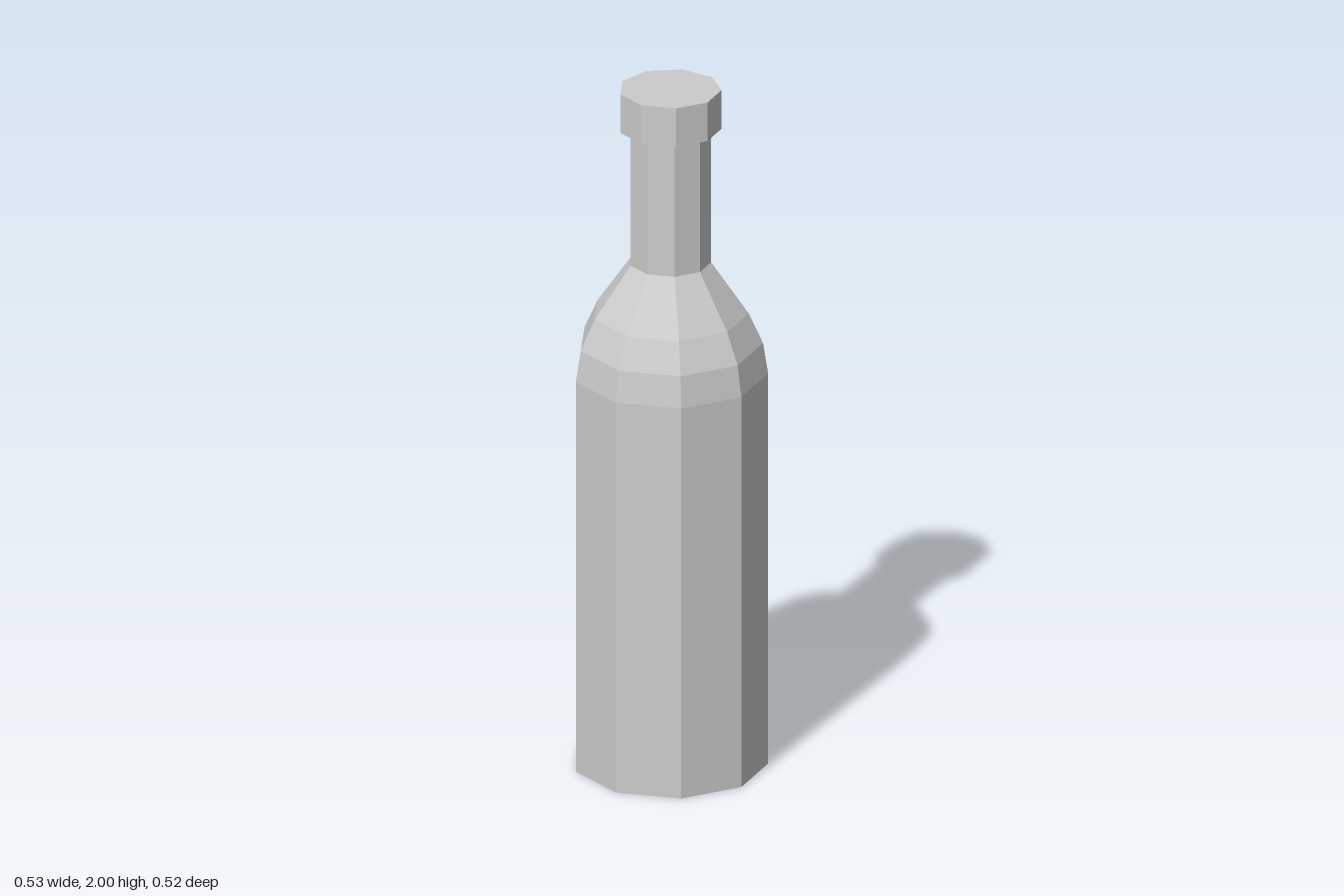
import * as THREE from 'three';

const SIDES = 9;

export function createModel() {
  const bottle = new THREE.Group();
  bottle.name = 'bottle';
  const material = new THREE.MeshStandardMaterial({ color: 0xcccccc, flatShading: true });

  // Nine-sided part turned from [radius, height] points, with a corner at the back
  const addTurned = (name, profile) => {
    const points = profile.map(([r, y]) => new THREE.Vector2(r, y));
    const mesh = new THREE.Mesh(new THREE.LatheGeometry(points, SIDES, Math.PI), material);
    mesh.name = name;
    mesh.position.z = 0.008; // balances the back corner against the front flat
    bottle.add(mesh);
  };

  // Closed base, straight wall and rounded shoulder
  addTurned('body', [[0, 0], [0.27, 0], [0.27, 1.16], [0.256, 1.25], [0.216, 1.338], [0.113, 1.487]]);
  // Straight neck running up to the cap
  addTurned('neck', [[0.113, 1.487], [0.113, 1.885]]);
  // Wider cap with underside and flat top
  addTurned('cap', [[0.113, 1.885], [0.142, 1.885], [0.142, 2], [0, 2]]);

  return bottle;
}
